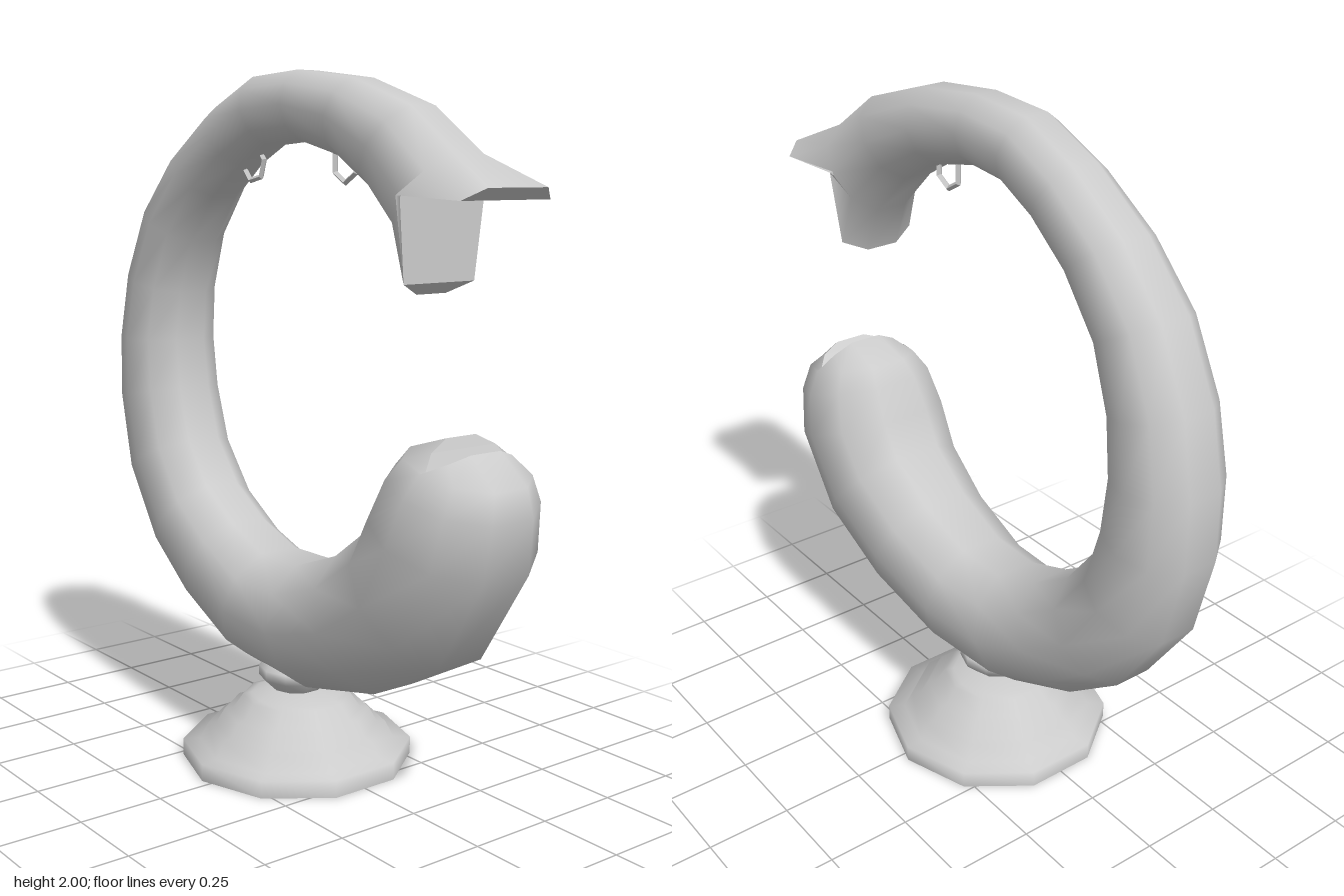
import * as THREE from 'three';

const smooth = new THREE.MeshStandardMaterial({ color: 0xcccccc, side: THREE.DoubleSide });
const flat = new THREE.MeshStandardMaterial({ color: 0xcccccc, side: THREE.DoubleSide, flatShading: true });

function add(parent, name, geometry, material = smooth) {
  const mesh = new THREE.Mesh(geometry, material);
  mesh.name = name;
  parent.add(mesh);
  return mesh;
}

function build(points, index) {
  const g = new THREE.BufferGeometry();
  g.setAttribute('position', new THREE.Float32BufferAttribute(points.flat(), 3));
  g.setIndex(index);
  g.computeVertexNormals();
  return g;
}

// Body sections from tail to head: outer x, y, inner x, y, half width
const sections = [
  [0.67, 1.77, 0.48, 1.56, 0.14], [0.50, 1.89, 0.34, 1.69, 0.125],
  [0.26, 1.97, 0.20, 1.77, 0.11], [0.02, 2.00, 0.03, 1.81, 0.10],
  [-0.19, 1.99, -0.13, 1.80, 0.105], [-0.38, 1.91, -0.26, 1.74, 0.11],
  [-0.57, 1.78, -0.39, 1.65, 0.12], [-0.72, 1.62, -0.51, 1.51, 0.13],
  [-0.82, 1.41, -0.57, 1.35, 0.14], [-0.86, 1.20, -0.59, 1.20, 0.15],
  [-0.86, 1.00, -0.57, 1.05, 0.155], [-0.80, 0.76, -0.52, 0.89, 0.16],
  [-0.64, 0.53, -0.42, 0.76, 0.165], [-0.45, 0.39, -0.28, 0.67, 0.17],
  [-0.20, 0.28, -0.12, 0.61, 0.18], [0.10, 0.26, 0.05, 0.61, 0.19],
  [0.41, 0.33, 0.24, 0.68, 0.205], [0.67, 0.47, 0.38, 0.78, 0.22],
  [0.83, 0.73, 0.44, 0.88, 0.23], [0.85, 0.88, 0.49, 0.98, 0.205],
  [0.84, 0.96, 0.53, 1.03, 0.165],
];

// Half rings (x, y, z) from outer to inner edge; the middle point is the notch
const tailEnd = [[0.84, 1.69, 0.1], [0.80, 1.66, 0.15], [0.57, 1.67, 0.15], [0.57, 1.45, 0.12], [0.54, 1.42, 0.05]];
const mouthEnd = [[0.75, 1.04, 0.05], [0.73, 1.02, 0.11], [0.69, 0.99, 0.15], [0.67, 1.04, 0.11], [0.66, 1.07, 0.05]];

const mirrored = (half) => [...half, ...half.map(([x, y, z]) => [x, y, -z]).reverse()];

function sectionRing([ox, oy, ix, iy, w]) {
  const half = [20, 55, 90, 125, 160].map((deg) => {
    const a = THREE.MathUtils.degToRad(deg);
    const t = 0.5 - 0.5 * Math.cos(a) / Math.cos(Math.PI / 9);
    return [ox + (ix - ox) * t, oy + (iy - oy) * t, w * Math.sin(a)];
  });
  return mirrored(half);
}

function bodyGeometry() {
  const rings = [mirrored(tailEnd), ...sections.map(sectionRing), mirrored(mouthEnd)];
  const index = [];
  for (let i = 0; i < rings.length - 1; i++) {
    for (let k = 0; k < 10; k++) {
      const a = i * 10 + k, b = i * 10 + (k + 1) % 10;
      index.push(a, a + 10, b, b, a + 10, b + 10);
    }
  }
  return build(rings.flat(), index);
}

// V-shaped end cap: strips between mirrored points
function capGeometry(half, flip) {
  const index = [];
  for (let k = 0; k < 4; k++) {
    const a = k, b = k + 1, c = 9 - k, d = 8 - k;
    index.push(...(flip ? [a, c, b, b, c, d] : [a, b, c, b, d, c]));
  }
  return build(mirrored(half), index);
}

const lathe = (pts) => new THREE.LatheGeometry(pts.map(([r, y]) => new THREE.Vector2(r, y)), 10);

export function createModel() {
  const model = new THREE.Group();
  model.name = 'curvedFishOnStand';

  const fish = new THREE.Group();
  fish.name = 'fish';
  model.add(fish);
  add(fish, 'body', bodyGeometry());
  add(fish, 'tailFork', capGeometry(tailEnd, false), flat);
  add(fish, 'mouth', capGeometry(mouthEnd, true), flat);

  // Small hexagonal hanging rings under the top of the arc
  for (const [name, x, turn] of [['rightHangingRing', -0.235, 0.2], ['leftHangingRing', 0.19, Math.PI / 6]]) {
    const ring = add(model, name, new THREE.TorusGeometry(0.052, 0.009, 4, 6), flat);
    ring.position.set(x, 1.748, 0);
    ring.rotation.z = turn;
  }

  // Stepped ten-sided stand
  const stand = new THREE.Group();
  stand.name = 'stand';
  stand.position.x = -0.03;
  model.add(stand);
  add(stand, 'standSteps', lathe([
    [0.34, 0], [0.34, 0.05], [0.29, 0.052], [0.265, 0.10], [0.24, 0.102], [0.215, 0.145],
    [0.19, 0.147], [0.16, 0.19], [0.135, 0.195], [0.08, 0.215], [0, 0.217],
  ]));
  add(stand, 'standBottom', lathe([[0, 0], [0.34, 0]]));
  add(stand, 'standKnob', lathe([[0.07, 0.21], [0.112, 0.25], [0.112, 0.28], [0.07, 0.31], [0, 0.32]]));

  return model;
}
